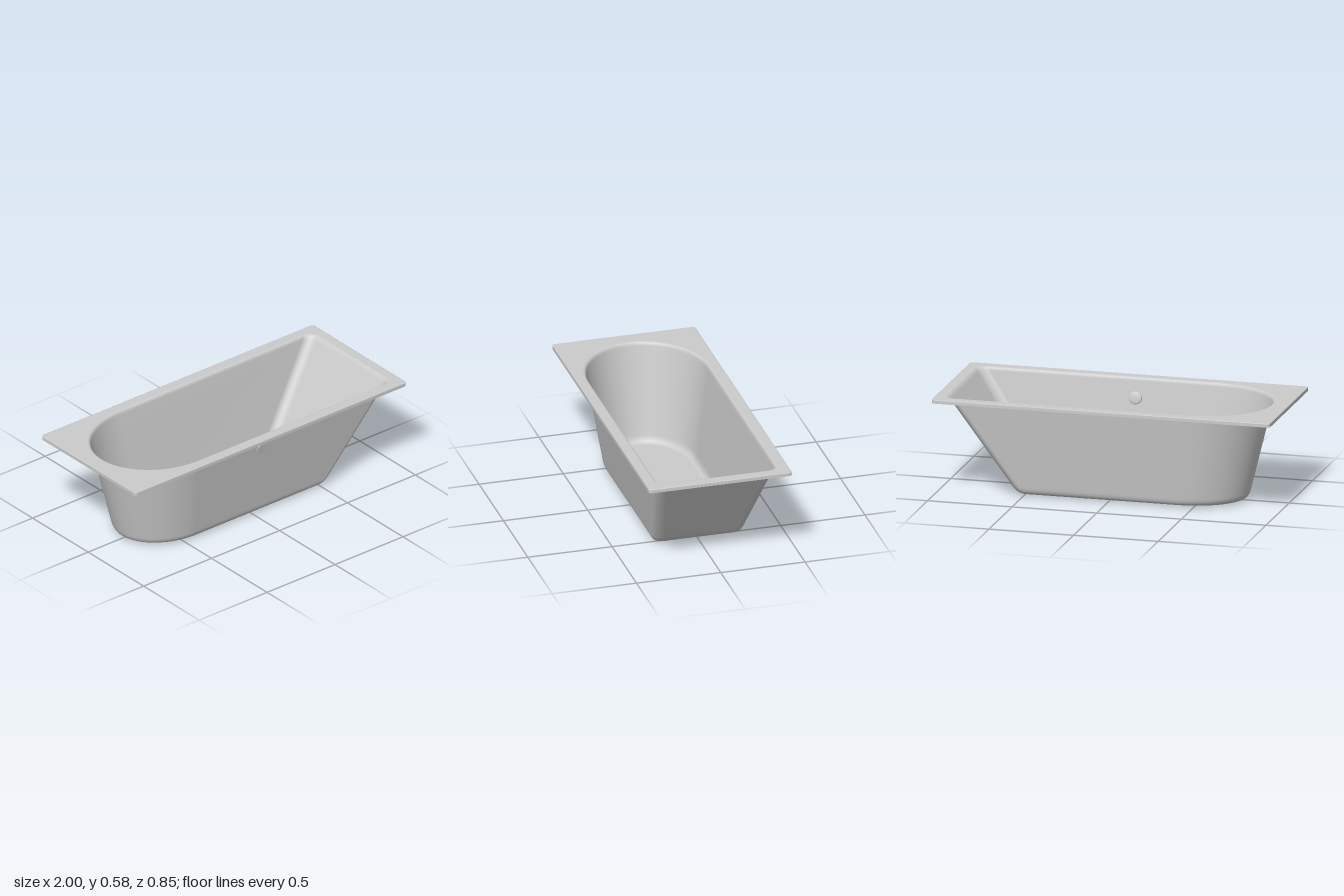
import * as THREE from 'three';

const material = new THREE.MeshStandardMaterial({ color: 0xcccccc, side: THREE.DoubleSide });
const lerp = THREE.MathUtils.lerp;
const RIM_TOP = 0.577, RIM_BOTTOM = 0.555, FLOOR = 0.008;

// Points [x, z] along an elliptical arc
function arc(cx, cz, rx, rz, from, to, steps) {
  return Array.from({ length: steps + 1 }, (_, i) => {
    const a = lerp(from, to, i / steps);
    return [cx + rx * Math.cos(a), cz + rz * Math.sin(a)];
  });
}

// Basin outline at height y: square end at +x, round end at -x, grown by "out"
function basinLoop(y, out) {
  const d = y - RIM_BOTTOM;
  const xl = -0.89 - 0.246 * d - out;
  const xr = 0.917 + 0.68 * d + out;
  const hw = 0.351 + 0.158 * d + out;
  const round = lerp(0.33, 0.42, y / RIM_TOP);
  const r = 0.055 + out * 0.6;
  return [
    ...arc(xr - r, hw - r, r, r, 0, Math.PI / 2, 10),
    ...arc(xl + round, 0, round, hw, Math.PI / 2, Math.PI * 1.5, 56),
    ...arc(xr - r, r - hw, r, r, Math.PI * 1.5, Math.PI * 2, 10),
  ];
}

// Rounded rectangle for the outside of the rim
function rimLoop(inset) {
  const r = 0.02, x = 1 - inset - r, z = 0.425 - inset - r;
  return [[x, z], [-x, z], [-x, -z], [x, -z]].flatMap(([cx, cz], i) =>
    arc(cx, cz, r, r, i * Math.PI / 2, (i + 1) * Math.PI / 2, 6));
}

// Skin over closed loops; an optional centre point closes the last one
function loft(rows, centre) {
  const pos = [], index = [], n = rows[0].loop.length;
  for (const { y, loop } of rows) for (const [x, z] of loop) pos.push(x, y, z);
  for (let i = 0; i < rows.length - 1; i++) {
    for (let j = 0; j < n; j++) {
      const a = i * n + j, b = i * n + (j + 1) % n;
      index.push(a, a + n, b, b, a + n, b + n);
    }
  }
  if (centre) {
    const c = pos.length / 3, s = c - n;
    pos.push(...centre);
    for (let j = 0; j < n; j++) index.push(c, s + (j + 1) % n, s + j);
  }
  const g = new THREE.BufferGeometry();
  g.setAttribute('position', new THREE.Float32BufferAttribute(pos, 3));
  g.setIndex(index);
  g.computeVertexNormals();
  return g;
}

// Basin rows from the rolled lip, down the wall, through the floor fillet
function basinGeometry() {
  const rows = [];
  const add = (y, out) => rows.push({ y, loop: basinLoop(y, out) });
  for (let i = 0; i <= 6; i++) {
    const t = i / 6;
    add(RIM_TOP - 0.022 * t * t, 0.013 * (1 - t) * (1 - t));
  }
  for (const y of [0.5, 0.38, 0.25, 0.12]) add(y, 0);
  for (let i = 0; i <= 8; i++) {
    const t = i / 8;
    add(FLOOR + 0.045 * (1 - t) * (1 - t), -0.03 * t * t);
  }
  return loft(rows, [-0.1, FLOOR, 0]);
}

// Flat deck with the basin opening cut out
function deckGeometry() {
  const toPoints = (loop) => loop.map(([x, z]) => new THREE.Vector2(x, z));
  const shape = new THREE.Shape(toPoints(rimLoop(0.004)));
  shape.holes.push(new THREE.Path(toPoints(basinLoop(RIM_TOP, 0.013))));
  return new THREE.ShapeGeometry(shape).rotateX(-Math.PI / 2).translate(0, RIM_TOP, 0);
}

// Round cap with a soft edge and a slightly domed face, axis along +y
function capGeometry(radius, height) {
  const profile = [
    [0, 0], [radius, 0], [radius, 0], [radius, height * 0.55],
    [radius * 0.97, height * 0.72], [radius * 0.85, height * 0.85],
    [radius * 0.5, height * 0.96], [0, height],
  ].map(([x, y]) => new THREE.Vector2(x, y));
  return new THREE.LatheGeometry(profile, 40);
}

export function createModel() {
  const group = new THREE.Group();
  const add = (name, geometry) => {
    const mesh = new THREE.Mesh(geometry, material);
    mesh.name = name;
    group.add(mesh);
    return mesh;
  };

  add('basin', basinGeometry());
  add('rimDeck', deckGeometry());
  add('rimSkirt', loft([
    { y: RIM_BOTTOM, loop: rimLoop(0) },
    { y: RIM_TOP - 0.004, loop: rimLoop(0) },
    { y: RIM_TOP - 0.001, loop: rimLoop(0.001) },
    { y: RIM_TOP, loop: rimLoop(0.004) },
  ]));

  // Waste cap in the floor
  add('drain', capGeometry(0.037, 0.02));

  // Overflow cap on the front wall, facing into the basin
  const overflow = add('overflow', capGeometry(0.037, 0.018));
  overflow.position.set(0, 0.46, 0.3385);
  overflow.rotation.x = -Math.PI / 2 + 0.184;

  return group;
}
